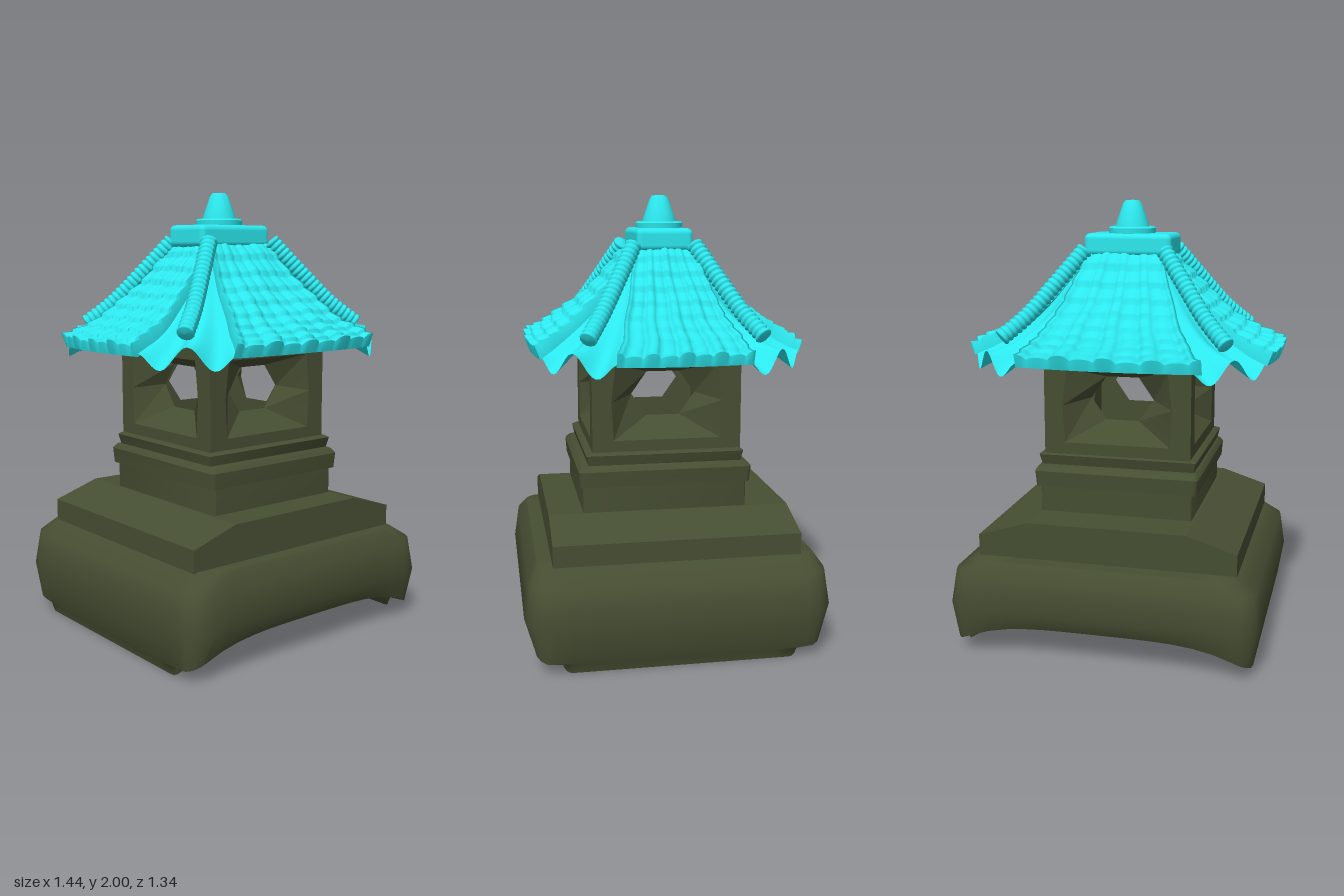
import * as THREE from 'three';
import { toCreasedNormals } from 'three/addons/utils/BufferGeometryUtils.js';
import { RoundedBoxGeometry } from 'three/addons/geometries/RoundedBoxGeometry.js';

const stone = new THREE.MeshStandardMaterial({ color: 0x464e32, side: THREE.DoubleSide });
const tile = new THREE.MeshStandardMaterial({ color: 0x2ce8ee, side: THREE.DoubleSide });

function add(parent, name, geo, mat, x = 0, y = 0, z = 0) {
  const mesh = new THREE.Mesh(geo, mat);
  mesh.name = name;
  mesh.position.set(x, y, z);
  parent.add(mesh);
  return mesh;
}

function build(positions, index) {
  const geo = new THREE.BufferGeometry();
  geo.setAttribute('position', new THREE.Float32BufferAttribute(positions, 3));
  geo.setIndex(index);
  geo.computeVertexNormals();
  return geo;
}

// Rounded rectangle in the xz plane, with n steps along each straight side
function outline(hx, hz, r, n) {
  const pts = [];
  const at = (k, j) => {
    const a = (k + j / 4) * Math.PI / 2, c = (k + 0.5) * Math.PI / 2;
    return new THREE.Vector2(Math.sign(Math.cos(c)) * (hx - r) + Math.cos(a) * r,
      Math.sign(Math.sin(c)) * (hz - r) + Math.sin(a) * r);
  };
  for (let k = 0; k < 4; k++) {
    for (let j = 0; j <= 4; j++) pts.push(at(k, j));
    for (let i = 1; i < n; i++) pts.push(at(k, 4).lerp(at(k + 1, 0), i / n));
  }
  return pts;
}

// Stacked rings [halfX, halfZ, radius, y or rule of x], bottom to top
function loft(rings, n = 1, crease = 0.6) {
  const pos = [], index = [];
  let count = 0;
  rings.forEach(([hx, hz, r, y]) => {
    const pts = outline(hx, hz, r, n);
    count = pts.length;
    pts.forEach(p => pos.push(p.x, typeof y === 'function' ? y(p.x) : y, p.y));
  });
  for (let j = 0; j < rings.length - 1; j++) {
    for (let i = 0; i < count; i++) {
      const a = j * count + i, b = j * count + (i + 1) % count;
      index.push(a, a + count, b, b, a + count, b + count);
    }
  }
  return toCreasedNormals(build(pos, index), crease);
}

// Grid surface; f(u, v) returns a point, u and v in 0..1. The rim folds onto under(u, v) if given.
function sheet(f, nu, nv, under) {
  const pos = [], index = [], e = under ? 1 : 0, row = nu + 1 + 2 * e;
  for (let j = -e; j <= nv + e; j++) {
    for (let i = -e; i <= nu + e; i++) {
      const ci = Math.min(nu, Math.max(0, i)), cj = Math.min(nv, Math.max(0, j));
      const p = (ci !== i || cj !== j ? under : f)(ci / nu, cj / nv);
      pos.push(p.x, p.y, p.z);
    }
  }
  for (let j = 0; j < nv + 2 * e; j++) {
    for (let i = 0; i < row - 1; i++) {
      const a = j * row + i;
      index.push(a, a + row, a + 1, a + 1, a + row, a + row + 1);
    }
  }
  return build(pos, index);
}

// Roof slopes: distance outward and height, plus half widths at top and eave
const slope = (pts, top, eave) => ({
  top, eave, curve: new THREE.SplineCurve(pts.map(p => new THREE.Vector2(...p))),
});
const frontSlope = slope([[0.12, 1.77], [0.22, 1.645], [0.33, 1.53], [0.44, 1.44], [0.53, 1.38], [0.6, 1.34]], 0.165, 0.4);
const sideSlope = slope([[0.17, 1.77], [0.26, 1.665], [0.36, 1.555], [0.47, 1.46], [0.59, 1.385], [0.695, 1.34]], 0.125, 0.285);

function slopePoint(s, u, v) {
  const p = s.curve.getPoint(v), w = u * 2 - 1;
  return new THREE.Vector3(w * THREE.MathUtils.lerp(s.top, s.eave, v), p.y, p.x - 0.03 * w * w * v);
}

// Tiled panel: raised cover rows and pans, crossed by overlapping pillowed courses
function tilePanel(s, seed, drift) {
  const base = (u, v) => {
    const p = slopePoint(s, u, v);
    p.x += drift * v + 0.006 * v * Math.sin(v * 17 + seed);
    return p;
  };
  const under = (u, v) => {
    const p = base(u, v);
    p.y -= 0.03;
    return p;
  };
  const top = (u, v) => {
    const p = base(u, v);
    const column = Math.abs(Math.cos(u * 4 * Math.PI));
    const cover = Math.cos(u * 8 * Math.PI) > 0 ? 1 : 0.45;
    const course = (v * 8.999) % 1;
    const h = (0.008 + 0.022 * v) * cover * Math.sqrt(Math.abs(2 * column * column - 1))
      + 0.02 * Math.sqrt(course) - 0.01 + 0.004 * Math.sin(u * 9 + v * 13 + seed * 2.3);
    p.y += h * 0.8;
    p.z += h * 0.6;
    return p;
  };
  return [sheet(top, 48, 63, under), sheet(under, 8, 16)];
}

// Ribbed ridge roll
function ridgeGeometry(sx, sz) {
  const pts = [[0.18, 1.785, 0.135], [0.29, 1.64, 0.22], [0.4, 1.5, 0.305], [0.505, 1.4, 0.38]];
  const path = new THREE.CatmullRomCurve3(pts.map(p => new THREE.Vector3(p[0] * sx, p[1], p[2] * sz)));
  const n = 132, sides = 12, geo = new THREE.TubeGeometry(path, n, 0.033, sides);
  const pos = geo.attributes.position, v = new THREE.Vector3();
  for (let i = 0; i <= n; i++) {
    const c = path.getPointAt(i / n);
    const k = i === 0 || i === n ? 0.01 : 0.95 + 0.25 * Math.abs(Math.sin(i * Math.PI / 6));
    for (let j = 0; j <= sides; j++) {
      const id = i * (sides + 1) + j;
      v.fromBufferAttribute(pos, id).sub(c).multiplyScalar(k).add(c);
      pos.setXYZ(id, v.x, v.y, v.z);
    }
  }
  geo.computeVertexNormals();
  return geo;
}

// One lantern wall: framed opening narrowing to a hexagonal window
function lanternWall() {
  const wall = new THREE.Group();
  const outer = [[0.25, 1.1], [0.23, 1.27], [-0.23, 1.27], [-0.25, 1.1], [-0.24, 0.93], [0.24, 0.93]];
  const hex = [[0.145, 1.12], [0.075, 1.22], [-0.075, 1.22], [-0.145, 1.12], [-0.075, 1.02], [0.075, 1.02]];
  const inner = 0.22;
  const face = (half, hole) => {
    const shape = new THREE.Shape([[-half, 0.86], [half, 0.86], [half, 1.33], [-half, 1.33]].map(p => new THREE.Vector2(...p)));
    shape.holes.push(new THREE.Path(hole.map(p => new THREE.Vector2(...p))));
    return new THREE.ShapeGeometry(shape);
  };
  add(wall, 'wallFace', face(0.335, outer), stone, 0, 0, 0.335);
  add(wall, 'innerWall', face(inner, hex), stone, 0, 0, inner);
  const pos = [], index = [];
  outer.forEach((p, i) => pos.push(...p, 0.335, ...hex[i], inner));
  for (let i = 0; i < 6; i++) {
    const a = i * 2, b = ((i + 1) % 6) * 2;
    index.push(a, a + 1, b, b, a + 1, b + 1);
  }
  add(wall, 'windowReveal', toCreasedNormals(build(pos, index), 0.3), stone);
  return wall;
}

export function createModel() {
  const model = new THREE.Group();

  // Plinth with an arched underside
  const arch = x => 0.15 * (1 - Math.pow(Math.min(1, Math.abs(x) / 0.66), 4));
  add(model, 'plinth', loft([
    [0.002, 0.002, 0.001, 0.16], [0.45, 0.42, 0.05, 0.15], [0.655, 0.515, 0.04, arch],
    [0.665, 0.53, 0.05, x => arch(x) * 0.75 + 0.045], [0.67, 0.63, 0.08, x => arch(x) * 0.65 + 0.055],
    [0.698, 0.672, 0.12, 0.23], [0.675, 0.65, 0.11, 0.385],
    [0.58, 0.61, 0.08, 0.445], [0.002, 0.002, 0.001, 0.445],
  ], 14, 0.9), stone);

  // Step with shoulders sloping to either side
  const profile = [[-0.59, 0.44], [0.57, 0.44], [0.57, 0.54], [0.34, 0.61], [-0.37, 0.61], [-0.59, 0.54]];
  add(model, 'step', new THREE.ExtrudeGeometry(new THREE.Shape(profile.map(p => new THREE.Vector2(...p))),
    { depth: 1.09, bevelEnabled: false }), stone, 0, 0, -0.545);

  // Pedestal mouldings
  add(model, 'pedestal', loft([
    [0.348, 0.37, 0.01, 0.6], [0.348, 0.37, 0.01, 0.73], [0.37, 0.385, 0.02, 0.73], [0.375, 0.39, 0.02, 0.8],
    [0.362, 0.372, 0.02, 0.82], [0.352, 0.345, 0.01, 0.825], [0.362, 0.355, 0.01, 0.87],
    [0.345, 0.34, 0.01, 0.88], [0.002, 0.002, 0.001, 0.88],
  ]), stone, -0.01, 0, 0.02);

  // Lantern chamber, open on four sides
  const chamber = new THREE.Group();
  chamber.name = 'lanternChamber';
  chamber.position.set(-0.01, 0, 0.01);
  for (let i = 0; i < 4; i++) {
    const wall = lanternWall();
    wall.name = 'lanternWall';
    wall.rotation.y = i * Math.PI / 2;
    chamber.add(wall);
  }
  add(chamber, 'chamberCeiling', loft([
    [0.002, 0.002, 0.001, 1.3], [0.335, 0.335, 0.005, 1.3], [0.335, 0.335, 0.005, 1.34],
    [0.2, 0.2, 0.005, 1.46], [0.002, 0.002, 0.001, 1.46],
  ]), stone);
  model.add(chamber);

  // Roof: four tiled panels, four flared corners, four ridges
  const roof = new THREE.Group();
  roof.name = 'roof';
  ['front', 'left', 'back', 'right'].forEach((side, i) => {
    const [tiles, lining] = tilePanel(i % 2 ? sideSlope : frontSlope, i, [0, 0.01, 0.03, -0.015][i]);
    add(roof, side + 'TilePanel', tiles, tile).rotation.y = i * Math.PI / 2;
    add(roof, side + 'PanelLining', lining, tile).rotation.y = i * Math.PI / 2;
  });
  for (const sx of [-1, 1]) {
    for (const sz of [-1, 1]) {
      add(roof, 'cornerFlare', sheet((s, v) => {
        const a = slopePoint(frontSlope, 0.95, v), b = slopePoint(sideSlope, 0.95, v);
        const p = a.lerp(new THREE.Vector3(b.z, b.y, b.x), s);
        const bulge = 0.03 * v * v * Math.sin(Math.PI * s);
        p.y += bulge - 0.09 * v * v * Math.sin(2 * Math.PI * s) ** 2 - 0.015 - 0.02 * Math.sin(Math.PI * v);
        return p.set((p.x + bulge) * sx, p.y, (p.z + bulge) * sz);
      }, 24, 20), tile);
      add(roof, 'ridge', ridgeGeometry(sx, sz), tile);
    }
  }
  model.add(roof);

  // Crown block and finial
  add(model, 'crown', new RoundedBoxGeometry(0.4, 0.1, 0.255, 3, 0.025), tile, -0.01, 1.803, -0.005);
  const finial = [[0, 1.84], [0.105, 1.84], [0.108, 1.875], [0.1, 1.882], [0.076, 1.882], [0.072, 1.9],
    [0.042, 1.985], [0.032, 1.998], [0, 2]].map(p => new THREE.Vector2(...p));
  add(model, 'finial', toCreasedNormals(new THREE.LatheGeometry(finial, 32), 0.6), tile, -0.007, 0, -0.01);

  return model;
}
